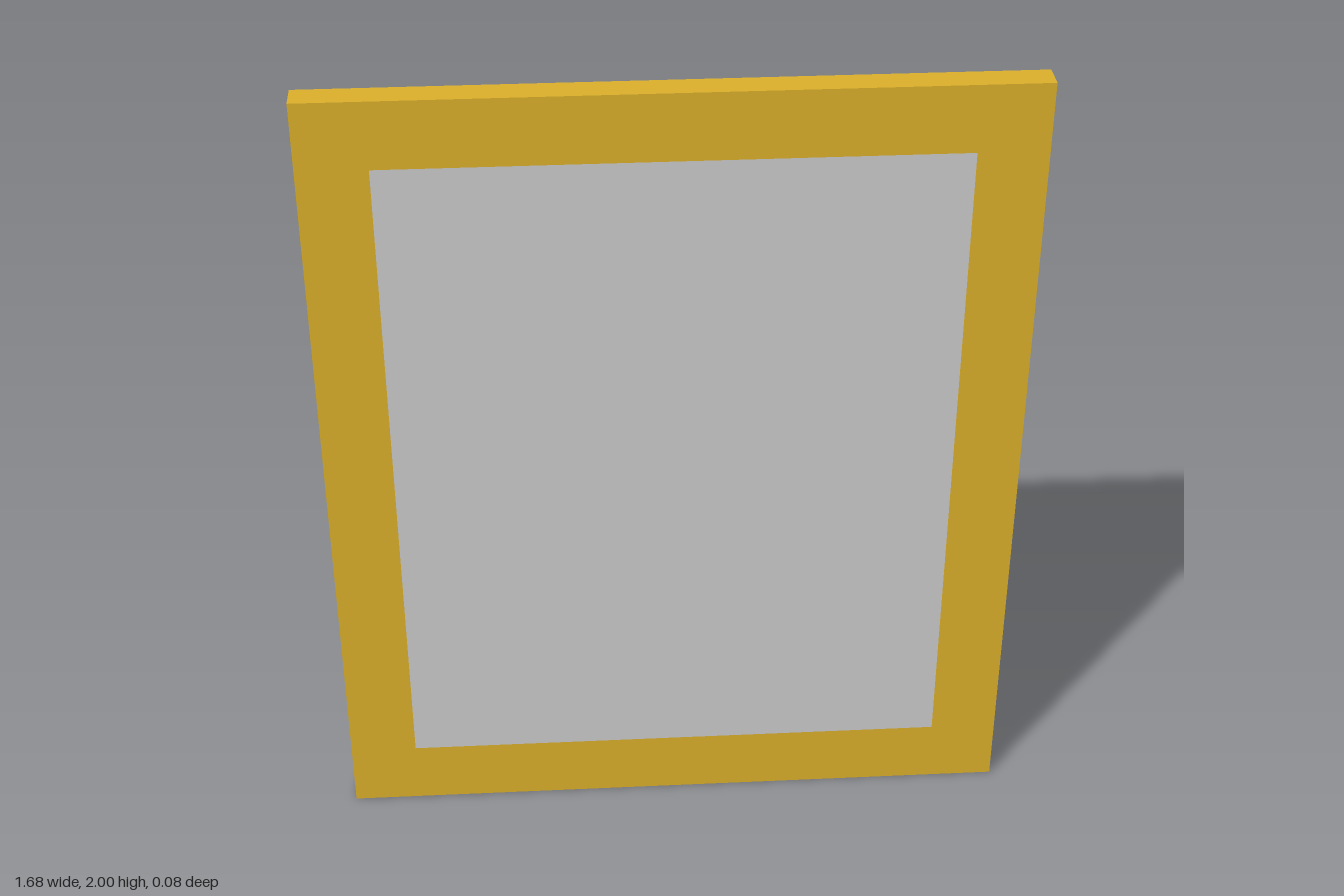
import * as THREE from 'three';

const W = 1.68, H = 2;

// Sweeps a closed [inset, z] profile around a rectangle with mitred corners.
function mitredFrame(width, height, profile) {
  const corners = [[-1, -1], [1, -1], [1, 1], [-1, 1]];
  const point = (i, j) => {
    const [inset, z] = profile[i % profile.length];
    const [sx, sy] = corners[j % 4];
    return [sx * (width / 2 - inset), sy * (height / 2 - inset), z];
  };
  const positions = [];
  for (let i = 0; i < profile.length; i++) {
    for (let j = 0; j < 4; j++) {
      const a = point(i, j), b = point(i + 1, j);
      const c = point(i + 1, j + 1), d = point(i, j + 1);
      positions.push(...a, ...b, ...c, ...a, ...c, ...d);
    }
  }
  const geometry = new THREE.BufferGeometry();
  geometry.setAttribute('position', new THREE.Float32BufferAttribute(positions, 3));
  geometry.computeVertexNormals();
  return geometry;
}

export function createModel() {
  const group = new THREE.Group();
  group.name = 'pictureFrame';

  const gold = new THREE.MeshStandardMaterial({ color: 0xdcb02b, flatShading: true });
  const grey = new THREE.MeshStandardMaterial({ color: 0xcccccc });

  // Moulding: flat front, bevelled raised rim and recessed ledge on the back
  const frame = new THREE.Mesh(mitredFrame(W, H, [
    [0, 0.04], [0, -0.03], [0.01, -0.04], [0.024, -0.04],
    [0.042, -0.03], [0.045, -0.005], [0.165, -0.005], [0.165, 0.04],
  ]), gold);
  frame.name = 'frame';
  frame.position.y = H / 2;
  group.add(frame);

  // Thin panel filling the opening, flush with the front
  const panel = new THREE.Mesh(new THREE.BoxGeometry(W - 0.33, H - 0.33, 0.01), grey);
  panel.name = 'picturePanel';
  panel.position.set(0, H / 2, 0.035);
  group.add(panel);

  return group;
}
